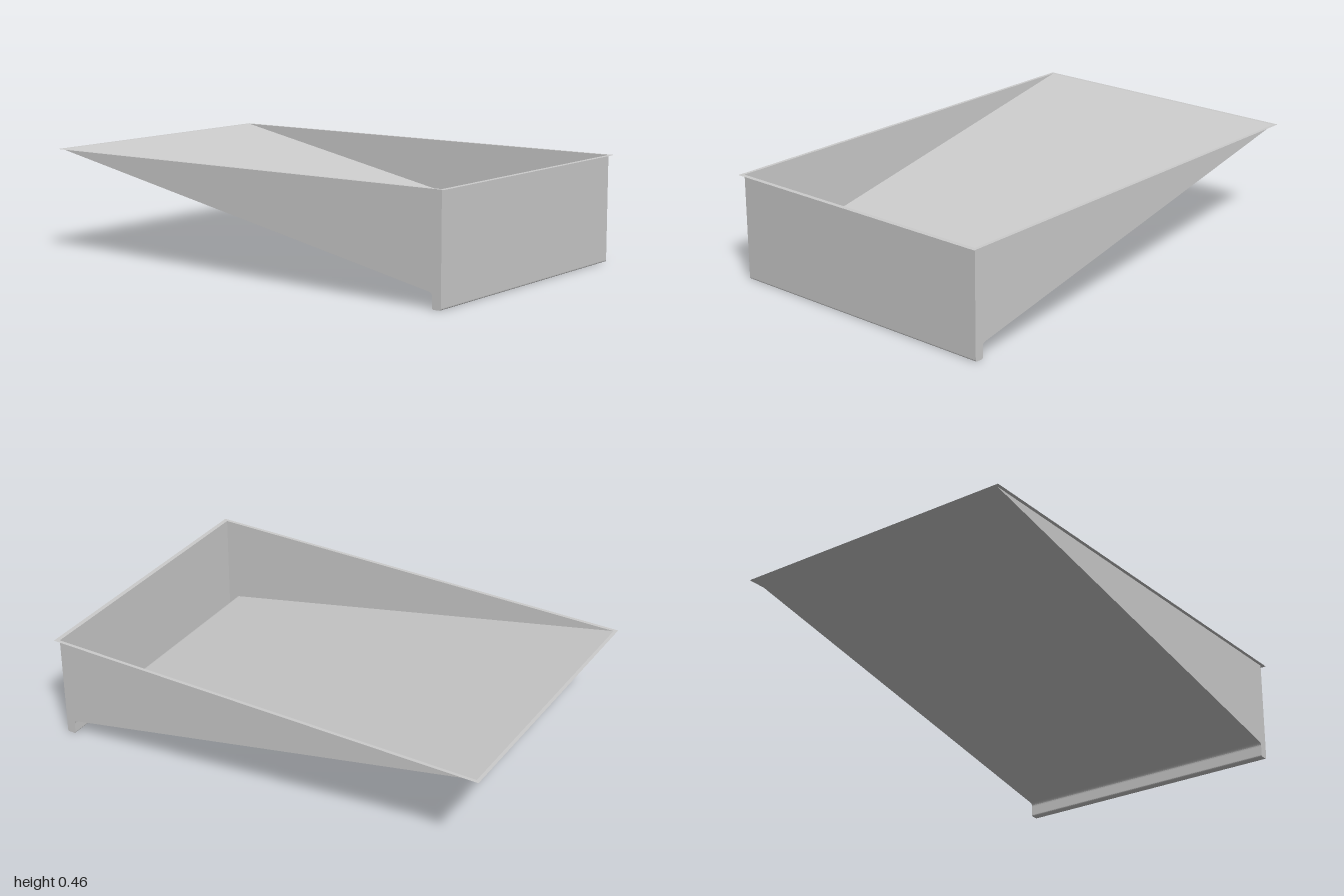
import * as THREE from 'three';

const HALF_W = 0.63;   // half width of the tray body
const FLANGE_W = 0.645; // half width of the rim
const rimY = (x) => 0.4585 - 0.0015 * x; // rim falls very slightly towards the deep end

// Side profile: shallow end, sloping floor, gutter with small rounded bends, end wall
function profile() {
  const s = new THREE.Shape();
  s.moveTo(-0.985, rimY(-0.985));
  s.lineTo(0.925, 0.067);
  s.quadraticCurveTo(0.94, 0.064, 0.94, 0.05);
  s.lineTo(0.94, 0.008);
  s.quadraticCurveTo(0.94, 0, 0.948, 0);
  s.lineTo(0.972, 0);
  s.quadraticCurveTo(0.98, 0, 0.98, 0.008);
  s.lineTo(0.98, rimY(0.98));
  return s;
}

// Thin sheet swept across the width along a list of profile points
function sheet(points) {
  const pos = [];
  for (let i = 0; i < points.length - 1; i++) {
    const a = points[i], b = points[i + 1];
    pos.push(a.x, a.y, HALF_W, b.x, b.y, HALF_W, b.x, b.y, -HALF_W);
    pos.push(a.x, a.y, HALF_W, b.x, b.y, -HALF_W, a.x, a.y, -HALF_W);
  }
  const g = new THREE.BufferGeometry();
  g.setAttribute('position', new THREE.Float32BufferAttribute(pos, 3));
  g.computeVertexNormals();
  return g;
}

function rectangle(target, x0, x1, z) {
  target.moveTo(x0, -z);
  target.lineTo(x1, -z);
  target.lineTo(x1, z);
  target.lineTo(x0, z);
  target.closePath();
  return target;
}

export function createModel() {
  const group = new THREE.Group();
  group.name = 'slopedTray';
  const material = new THREE.MeshStandardMaterial({ color: 0xcccccc, side: THREE.DoubleSide });
  const add = (name, geometry) => {
    const mesh = new THREE.Mesh(geometry, material);
    mesh.name = name;
    group.add(mesh);
    return mesh;
  };

  // Sloping floor, gutter and end wall
  const shape = profile();
  const points = shape.getPoints(5);
  add('slopingFloor', sheet(points.slice(0, 2)));
  add('gutter', sheet(points.slice(1, -1)));
  add('endWall', sheet(points.slice(-2)));

  // Triangular side walls
  for (const side of [1, -1]) {
    const g = new THREE.ShapeGeometry(shape, 5);
    if (side < 0) g.rotateY(Math.PI).scale(-1, 1, 1);
    add(side > 0 ? 'frontWall' : 'backWall', g).position.z = side * HALF_W;
  }

  // Narrow flat rim around the opening
  const rim = rectangle(new THREE.Shape(), -1, 1, FLANGE_W);
  rim.holes.push(rectangle(new THREE.Path(), -0.985, 0.98, HALF_W));
  const rimGeometry = new THREE.ShapeGeometry(rim).rotateX(-Math.PI / 2);
  const p = rimGeometry.attributes.position;
  for (let i = 0; i < p.count; i++) p.setY(i, rimY(p.getX(i)));
  rimGeometry.computeVertexNormals();
  add('rim', rimGeometry);

  // Slim drain plate in the middle of the gutter
  const drain = rectangle(new THREE.Shape(), 0.946, 0.974, 0.104);
  add('drainPlate', new THREE.ShapeGeometry(drain).rotateX(-Math.PI / 2)).position.y = 0.003;

  return group;
}
